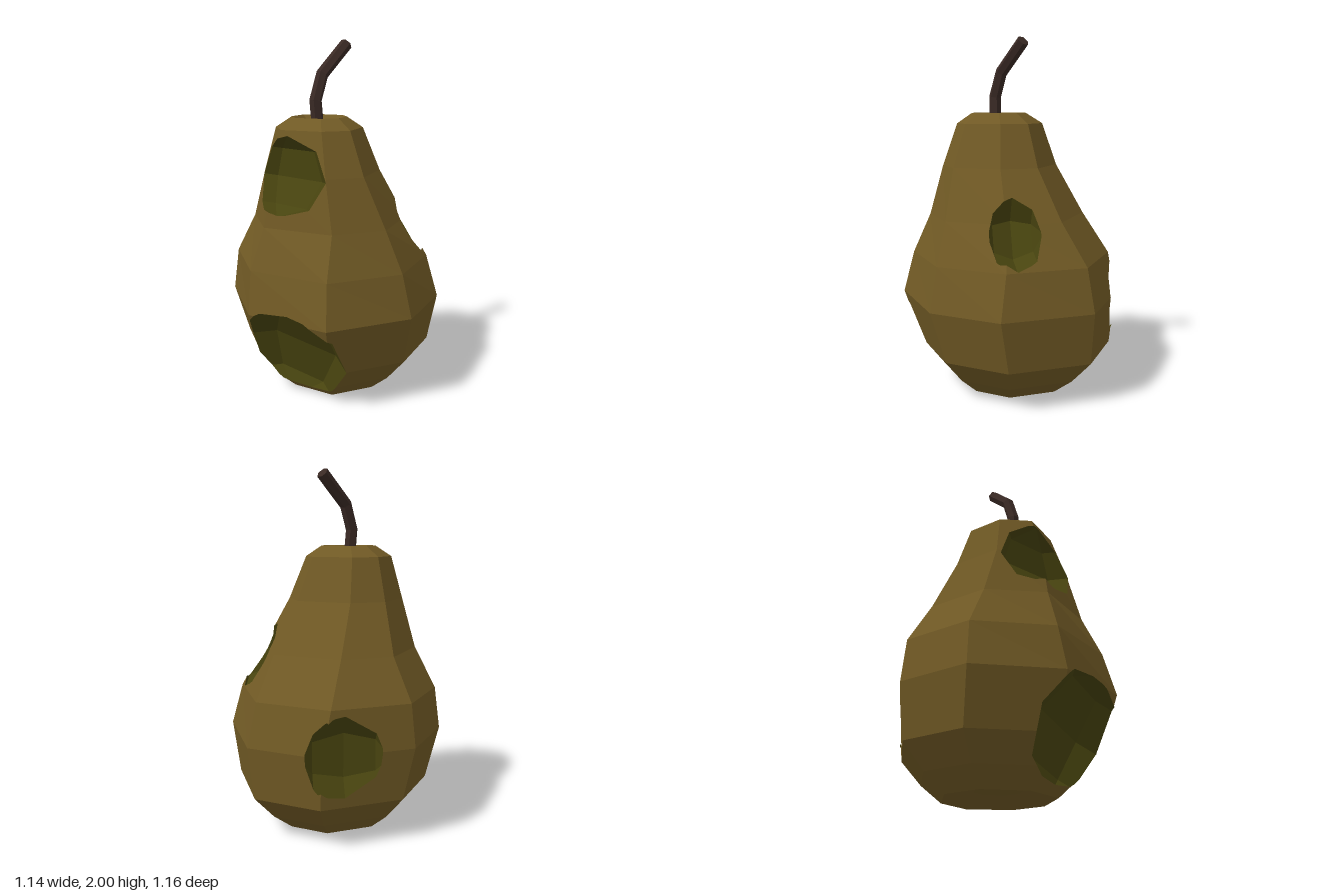
import * as THREE from 'three';

const V = (x, y, z) => new THREE.Vector3(x, y, z);

// Eight-sided outlines (x, z) of the belly and of the neck
const BELLY = [[0.57, 0.21], [0.29, 0.52], [-0.2, 0.58], [-0.55, 0.24],
  [-0.57, -0.25], [-0.28, -0.57], [0.24, -0.59], [0.57, -0.31]];
const NECK = [[0.56, 0.16], [0.27, 0.56], [-0.11, 0.58], [-0.56, 0.24],
  [-0.55, -0.2], [-0.22, -0.57], [0.14, -0.58], [0.57, -0.22]];

// Rings from the bottom hollow to the top hollow: y, scale, centre x, centre z, blend to neck
const RINGS = [
  [0.06, 0, 0.015, -0.03, 0], [0.05, 0.22, 0.015, -0.03, 0], [0, 0.51, 0.015, -0.03, 0],
  [0.1, 0.7, 0.02, -0.03, 0], [0.24, 0.895, 0.025, -0.03, 0], [0.53, 1, 0, 0, 0],
  [0.77, 0.93, -0.015, -0.02, 0.25], [1.0, 0.745, -0.03, -0.005, 0.75],
  [1.28, 0.56, -0.08, 0.02, 1], [1.52, 0.42, -0.095, 0.015, 1],
  [1.58, 0.265, -0.095, 0.02, 1], [1.53, 0.15, -0.1, 0.025, 1], [1.51, 0, -0.11, 0.03, 1]];
const FIRST = 2, LAST = 10; // outer skin runs from the base ring to the rim ring

// Bites: position, outward direction, half sizes, roll about the outward direction
const BITES = [
  { name: 'upperBite', at: [-0.34, 1.275, 0.17], out: [-0.8, 0.2, 0.54], size: [0.34, 0.22, 0.16], roll: 0 },
  { name: 'sideBite', at: [0.415, 0.955, 0.085], out: [0.88, 0.42, 0.12], size: [0.215, 0.15, 0.14], roll: Math.PI / 2 },
  { name: 'backBite', at: [0.11, 0.51, -0.58], out: [0.14, 0, -1], size: [0.24, 0.235, 0.09], roll: Math.PI / 2 },
  { name: 'lowerBite', at: [-0.325, 0.28, 0.34], out: [-0.67, -0.42, 0.67], size: [0.38, 0.33, 0.16], roll: -0.25 }];

// Triangles between neighbouring rings of points
function loft(rings) {
  const polys = [];
  for (let k = 0; k + 1 < rings.length; k++) {
    const a = rings[k], b = rings[k + 1], n = a.length;
    for (let i = 0; i < n; i++) {
      const j = (i + 1) % n;
      polys.push([a[i], b[i], b[j]], [a[i], b[j], a[j]]);
    }
  }
  return polys;
}

// Cut a convex polygon by a plane into its inner and outer part
function split(poly, plane) {
  const inner = [], outer = [];
  poly.forEach((p, i) => {
    const q = poly[(i + 1) % poly.length];
    const d = plane.distanceToPoint(p), e = plane.distanceToPoint(q);
    if (d <= 1e-6) inner.push(p);
    if (d >= -1e-6) outer.push(p);
    if ((d < -1e-6 && e > 1e-6) || (d > 1e-6 && e < -1e-6)) {
      const m = p.clone().lerp(q, d / (d - e));
      inner.push(m);
      outer.push(m);
    }
  });
  return [inner, outer];
}

// Part of a polygon inside a convex solid
function keepInside(poly, planes) {
  for (const plane of planes) {
    poly = split(poly, plane)[0];
    if (poly.length < 3) return [];
  }
  return [poly];
}

// Parts of a polygon outside a convex solid
function keepOutside(poly, planes) {
  const parts = [];
  let rest = poly;
  for (const plane of planes) {
    const [inner, outer] = split(rest, plane);
    if (outer.length > 2) parts.push(outer);
    if (inner.length < 3) return parts;
    rest = inner;
  }
  return parts;
}

// Faceted mesh from convex polygons
function facetMesh(polys, material, name) {
  const points = [], tri = new THREE.Triangle();
  for (const p of polys) {
    for (let i = 1; i + 1 < p.length; i++) {
      tri.set(p[0], p[i], p[i + 1]);
      if (tri.getArea() > 1e-7) points.push(p[0], p[i], p[i + 1]);
    }
  }
  const geometry = new THREE.BufferGeometry().setFromPoints(points);
  geometry.computeVertexNormals();
  const mesh = new THREE.Mesh(geometry, material);
  mesh.name = name;
  return mesh;
}

const planeOf = ([a, b, c]) => new THREE.Plane().setFromCoplanarPoints(a, b, c);

// Squashed low-poly ball used as a bite: its faces and their planes
function biteSolid({ at, out, size, roll }) {
  const frame = new THREE.Object3D();
  frame.lookAt(V(...out));
  const g = new THREE.SphereGeometry(1, 6, 4).toNonIndexed();
  g.scale(...size).rotateZ(roll).applyQuaternion(frame.quaternion).translate(...at);
  const pos = g.attributes.position, faces = [], planes = [];
  for (let i = 0; i < pos.count; i += 3) {
    const f = [0, 1, 2].map((k) => V(0, 0, 0).fromBufferAttribute(pos, i + k));
    if (new THREE.Triangle(...f).getArea() < 1e-6) continue;
    const plane = planeOf(f);
    faces.push(f);
    if (!planes.some((p) => p.normal.dot(plane.normal) > 0.9999)) planes.push(plane);
  }
  return { faces, planes };
}

// Six-sided stem that bends along a path
function stemRings() {
  const path = [V(-0.105, 1.49, 0.035), V(-0.12, 1.67, 0.035), V(-0.075, 1.81, 0.01), V(0.085, 1.975, -0.068)];
  const rings = path.map((p, k) => {
    const t = path[Math.min(k + 1, 3)].clone().sub(path[Math.max(k - 1, 0)]).normalize();
    const e1 = V(1, 0, 0).addScaledVector(t, -t.x).normalize();
    const e2 = e1.clone().cross(t);
    return Array.from({ length: 6 }, (_, i) => {
      const a = (i * Math.PI) / 3;
      return p.clone().addScaledVector(e1, 0.035 * Math.cos(a)).addScaledVector(e2, 0.035 * Math.sin(a));
    });
  });
  rings.push(Array(6).fill(path[3])); // closed tip
  return rings;
}

export function createModel() {
  const skin = new THREE.MeshStandardMaterial({ color: 0x715a25 });
  skin.name = 'skin';
  const flesh = new THREE.MeshStandardMaterial({ color: 0x48440f });
  flesh.name = 'flesh';
  const bark = new THREE.MeshStandardMaterial({ color: 0x3a2a25 });
  bark.name = 'bark';
  const group = new THREE.Group();
  group.name = 'pear';

  const rings = RINGS.map(([y, s, cx, cz, t]) => BELLY.map(([x, z], i) =>
    V(cx + s * THREE.MathUtils.lerp(x, NECK[i][0], t), y, cz + s * THREE.MathUtils.lerp(z, NECK[i][1], t))));

  // Nearly convex slices of the body trim the bite surfaces, with a little slack to close the rims
  const slices = [];
  for (let k = FIRST; k < LAST; k++) {
    const sides = loft([rings[k], rings[k + 1]]).map(planeOf);
    sides.forEach((p) => { p.constant -= 0.004; });
    slices.push([
      ...sides,
      new THREE.Plane(V(0, 1, 0), -RINGS[k + 1][0]),
      new THREE.Plane(V(0, -1, 0), RINGS[k][0])]);
  }

  // Body skin with the bites cut out, and the bitten surfaces
  let body = loft(rings);
  for (const bite of BITES) {
    const { faces, planes } = biteSolid(bite);
    body = body.flatMap((p) => keepOutside(p, planes));
    const hollow = faces.flatMap((f) => slices.flatMap((s) => keepInside(f, s)));
    group.add(facetMesh(hollow.map((p) => p.slice().reverse()), flesh, bite.name));
  }
  group.add(facetMesh(body, skin, 'body'));
  group.add(facetMesh(loft(stemRings()), bark, 'stem'));
  return group;
}
